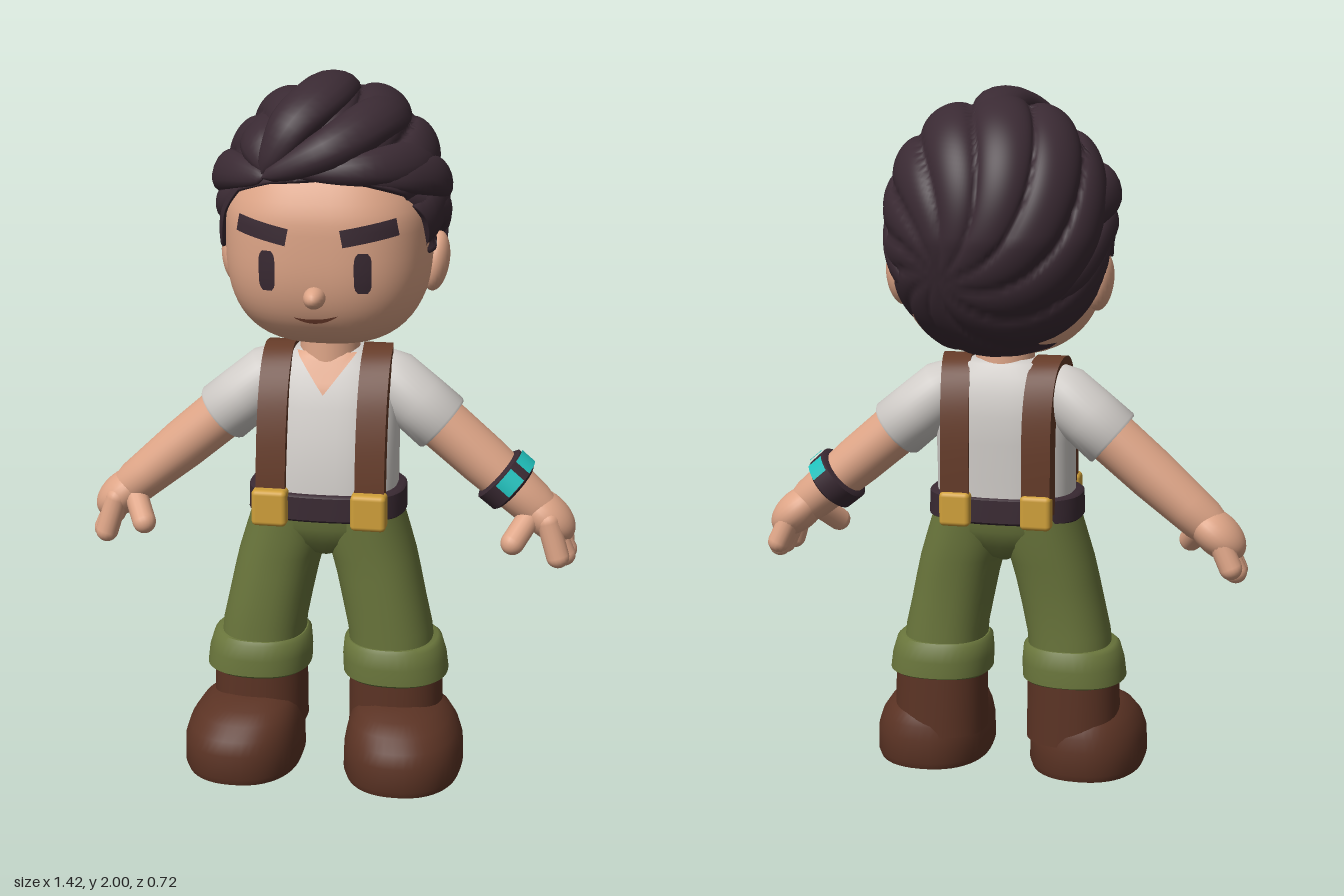
import * as THREE from 'three';
import { toCreasedNormals } from 'three/addons/utils/BufferGeometryUtils.js';
import { RoundedBoxGeometry } from 'three/addons/geometries/RoundedBoxGeometry.js';

const V = (x, y, z) => new THREE.Vector3(x, y, z);
const spow = (v, e) => Math.sign(v) * Math.abs(v) ** e;

function material(name, color) {
  const m = new THREE.MeshStandardMaterial({ color });
  m.name = name;
  return m;
}

// Linear interpolation in rows sorted by their first number
function lookup(rows, k) {
  let i = 0;
  while (i < rows.length - 2 && k > rows[i + 1][0]) i++;
  const a = rows[i], b = rows[i + 1];
  const t = THREE.MathUtils.clamp((k - a[0]) / (b[0] - a[0]), 0, 1);
  return a.map((v, j) => v + (b[j] - v) * t);
}

// Surface closed around u, open along v
function grid(nu, nv, fn) {
  const pos = [], index = [];
  for (let j = 0; j <= nv; j++) for (let i = 0; i < nu; i++) pos.push(...fn(i / nu, j / nv, j));
  for (let j = 0; j < nv; j++) for (let i = 0; i < nu; i++) {
    const a = j * nu + i, b = j * nu + (i + 1) % nu;
    index.push(a, b, b + nu, a, b + nu, a + nu);
  }
  const g = new THREE.BufferGeometry();
  g.setAttribute('position', new THREE.Float32BufferAttribute(pos, 3));
  g.setIndex(index);
  g.computeVertexNormals();
  return g;
}

// Body through rings [y, rx, rz, cz, cx], lowest first, capped at both ends
function loft(rings, n = 2.3, seg = 40, crease = 0.75) {
  const flat = (r) => [r[0], 0.0001, 0.0001, r[3], r[4]];
  const all = [flat(rings[0]), ...rings, flat(rings[rings.length - 1])];
  const g = grid(seg, all.length - 1, (u, v, j) => {
    const [y, rx, rz, cz = 0, cx = 0] = all[j], a = u * Math.PI * 2;
    return [cx + rx * spow(Math.sin(a), 2 / n), y, cz + rz * spow(Math.cos(a), 2 / n)];
  });
  return toCreasedNormals(g, crease);
}

// Depth of the front of a lofted body at x, y
const frontOf = (rings, n) => (x, y) => {
  const [, rx, rz, cz] = lookup(rings, y);
  return cz + rz * Math.max(0, 1 - Math.abs(x / rx) ** n) ** (1 / n);
};

// Lay a flat geometry on a front surface
function drape(geo, depth, lift = 0.007) {
  const p = geo.attributes.position;
  for (let i = 0; i < p.count; i++) p.setZ(i, depth(p.getX(i), p.getY(i)) + lift);
  geo.computeVertexNormals();
  return geo;
}

// Hair surface radius around its centre, with swept grooves
const hairCentre = V(0, 1.6, -0.03);
const pole = V(-0.35, 0.32, 0.88).normalize();
const poleX = V(0, 1, 0).cross(pole).normalize(), poleY = pole.clone().cross(poleX);
function hairRadius(d) {
  const b = d.y > 0 ? 0.362 : 0.36, c = d.z > 0 ? 0.322 : 0.325 + 0.05 * Math.min(0, d.y), n = 2.2;
  const r = (Math.abs(d.x / 0.31) ** n + Math.abs(d.y / b) ** n + Math.abs(d.z / c) ** n) ** (-1 / n);
  const t = Math.acos(THREE.MathUtils.clamp(d.dot(pole), -1, 1));
  const k = (Math.atan2(d.dot(poleX), d.dot(poleY)) + 0.7 * t) / (Math.PI * 2) * 11 + 22;
  const f = k - Math.floor(k), depth = Math.sin(t) * (1 + 0.7 * Math.min(0, d.y));
  return r * (0.98 + depth * (0.11 * Math.sqrt(4 * f * (1 - f)) - 0.035));
}
// Azimuth from the front and elevation of the hair edge, in degrees
const hairline = [[0, 25], [25, 22], [45, 16], [56, 4], [64, -14], [71, -13], [78, -4], [97, -3],
  [101, -24], [105, -46], [114, -61], [145, -69], [180, -72]];
function hairCap() {
  return grid(240, 60, (u, v, j) => {
    const a = u * Math.PI * 2, deg = u > 0.5 ? 360 - u * 360 : u * 360;
    const low = lookup(hairline, deg)[1];
    const e = THREE.MathUtils.degToRad(low + (90 - low) * Math.max(0, j - 1) / 59);
    const d = V(Math.sin(a) * Math.cos(e), Math.sin(e), Math.cos(a) * Math.cos(e));
    const p = d.clone().multiplyScalar(hairRadius(d) * (j ? 1 : 0.75)).add(hairCentre);
    return [p.x, p.y, p.z];
  });
}
// Tapered lock of hair, w wide and t thick
function lock(points, w, t) {
  const curve = new THREE.CatmullRomCurve3(points.map((p) => V(...p)));
  return grid(16, 26, (u, v) => {
    const p = curve.getPoint(v), out = p.clone().sub(hairCentre).normalize();
    const side = curve.getTangent(v).cross(out).normalize();
    const a = u * Math.PI * 2, k = Math.sqrt(Math.max(0, Math.sin(Math.PI * v)));
    p.addScaledVector(side, Math.sin(a) * w * k).addScaledVector(out, Math.cos(a) * t * k);
    return [p.x, p.y, p.z];
  });
}

export function createModel() {
  const model = new THREE.Group();
  model.name = 'character';
  const skin = material('skin', 0xdea587), dark = material('dark hair', 0x3a2a33);
  const shirt = material('shirt cloth', 0xd0ccc8), leather = material('strap leather', 0x653b28);
  const boot = material('boot leather', 0x5b3324), lip = material('lip', 0x7a4432);
  const cloth = material('trouser cloth', 0x6a763c), gold = material('gold metal', 0xd0a03a);
  const teal = material('teal glass', 0x20c2be);
  const add = (name, geo, mat, parent = model) => {
    const m = new THREE.Mesh(geo, mat);
    m.name = name;
    parent.add(m);
    return m;
  };
  const capsule = (name, a, b, r, mat) => {
    const m = add(name, new THREE.CapsuleGeometry(r, a.distanceTo(b), 8, 16), mat);
    m.position.copy(a).add(b).multiplyScalar(0.5);
    m.quaternion.setFromUnitVectors(V(0, 1, 0), b.clone().sub(a).normalize());
  };

  // Head
  const headRings = [], square = 2.75;
  for (let i = 0; i <= 36; i++) {
    const k = spow(Math.sin((i / 36 - 0.5) * Math.PI), 0.9);
    const s = (1 - Math.abs(k) ** square) ** (1 / square) * (1 - 0.25 * Math.max(0, k - 0.25));
    headRings.push([1.56 + 0.307 * k, 0.286 * s + 0.0001, 0.28 * s + 0.0001, 0.02, 0]);
  }
  add('head', loft(headRings, 2.6, 72, 1.2), skin);
  const face = frontOf(headRings, 2.6);
  add('nose', new THREE.SphereGeometry(1, 20, 14).scale(0.03, 0.03, 0.05).translate(0, 1.428, 0.292), skin);
  add('neck', new THREE.CylinderGeometry(0.082, 0.088, 0.18, 32).translate(0, 1.23, 0.04), skin);
  const smile = new THREE.PlaneGeometry(0.12, 0.012, 14, 2);
  const sp = smile.attributes.position;
  for (let i = 0; i < sp.count; i++) {
    const x = sp.getX(i) / 0.06;
    sp.setY(i, 1.357 + sp.getY(i) * (1.1 - x * x) + 0.014 * x * x + 0.004 * x);
  }
  add('mouth', drape(smile, face), lip);

  // Hair
  add('hair', hairCap(), dark);
  const locks = [
    [[[-0.15, 1.75, 0.25], [-0.08, 1.87, 0.22], [-0.01, 1.94, 0.1], [0.0, 1.94, -0.08], [0, 1.85, -0.26]], 0.08, 0.052],
    [[[-0.15, 1.74, 0.26], [0.03, 1.82, 0.25], [0.14, 1.88, 0.11], [0.15, 1.87, -0.08], [0.1, 1.78, -0.28]], 0.07, 0.052],
    [[[-0.08, 1.76, 0.265], [0.13, 1.77, 0.235], [0.24, 1.77, 0.1], [0.24, 1.75, -0.1], [0.15, 1.64, -0.29]], 0.06, 0.04],
    [[[-0.12, 1.75, 0.25], [-0.17, 1.82, 0.17], [-0.17, 1.85, 0.02], [-0.13, 1.84, -0.15], [-0.05, 1.7, -0.32]], 0.07, 0.04],
  ];
  for (const s of [-1, 1]) locks.push(
    [[[s * 0.14, 1.74, 0.255], [s * 0.24, 1.74, 0.155], [s * 0.295, 1.72, 0.03], [s * 0.265, 1.66, -0.15], [s * 0.12, 1.5, -0.29]], 0.06, 0.035],
    [[[s * 0.22, 1.69, 0.19], [s * 0.285, 1.64, 0.08], [s * 0.3, 1.62, -0.04], [s * 0.25, 1.5, -0.18], [s * 0.1, 1.36, -0.22]], 0.05, 0.03]);
  for (const [points, w, t] of locks) add('hairLock', lock(points, w, t), dark);

  // Shirt and neckline
  const torso = [[0.8, 0.2, 0.15, 0.065, 0], [0.9, 0.2, 0.148, 0.062, 0], [1.0, 0.2, 0.14, 0.05, 0],
    [1.08, 0.2, 0.13, 0.04, 0], [1.14, 0.195, 0.115, 0.035, 0], [1.19, 0.17, 0.095, 0.03, 0],
    [1.225, 0.12, 0.077, 0.03, 0], [1.235, 0.09, 0.06, 0.03, 0]];
  add('shirt', loft(torso, 2.6, 48, 1), shirt);
  const vee = new THREE.PlaneGeometry(0.17, 0.11, 12, 10).translate(0, 1.175, 0);
  const vp = vee.attributes.position;
  for (let i = 0; i < vp.count; i++) vp.setX(i, vp.getX(i) * (vp.getY(i) - 1.12) / 0.11);
  add('neckline', drape(vee, frontOf(torso, 2.6), 0.009), skin);

  // Belt and hips
  add('belt', loft([[0.765, 0.218, 0.152, 0.068], [0.772, 0.226, 0.16, 0.068], [0.838, 0.224, 0.16, 0.068],
    [0.845, 0.216, 0.152, 0.068]], 2.6, 48), dark);
  add('hips', loft([[0.635, 0.015, 0.05, 0.07], [0.65, 0.05, 0.085, 0.07], [0.69, 0.17, 0.122, 0.07],
    [0.74, 0.214, 0.146, 0.068], [0.79, 0.21, 0.15, 0.068]], 2.5, 48, 1.2), cloth);

  // Suspender side profile as z, y
  const outer = new THREE.SplineCurve([[0.224, 0.8], [0.22, 0.9], [0.203, 1.02], [0.168, 1.13], [0.11, 1.212],
    [0.035, 1.243], [-0.04, 1.215], [-0.085, 1.13], [-0.102, 1.0], [-0.1, 0.8]].map((p) => new THREE.Vector2(...p)));
  const rim = outer.getPoints(40);
  const inner = rim.map((p, i) => {
    const t = outer.getTangent(i / 40);
    return new THREE.Vector2(p.x - t.y * 0.045, p.y + t.x * 0.045);
  });
  const strapShape = new THREE.Shape([...rim, ...inner.reverse()]);

  for (const s of [-1, 1]) {
    // Face sides
    const eye = new THREE.PlaneGeometry(0.046, 0.11, 6, 12);
    const ep = eye.attributes.position;
    for (let i = 0; i < ep.count; i++) ep.setX(i, ep.getX(i) * (1 - 0.45 * Math.abs(ep.getY(i) / 0.055) ** 6));
    add('eye', drape(eye.translate(s * 0.13, 1.497, 0), face), dark);
    const brow = new THREE.PlaneGeometry(0.146, 0.047, 14, 4).rotateZ(s * 0.19).translate(s * 0.145, 1.605, 0);
    add('eyebrow', drape(brow, face, 0.009), dark);
    const ear = add('ear', new THREE.SphereGeometry(1, 24, 16), skin);
    ear.scale.set(0.038, 0.085, 0.058);
    ear.position.set(s * 0.287, 1.47, -0.04);
    ear.rotation.set(-0.15, 0, -s * 0.12);

    // Suspender, closer to the middle at the back
    const strap = new THREE.ExtrudeGeometry(strapShape, { depth: 0.083, bevelEnabled: false });
    strap.translate(0, 0, -0.0415).rotateY(-Math.PI / 2);
    const tp = strap.attributes.position;
    for (let i = 0; i < tp.count; i++) {
      const back = THREE.MathUtils.clamp((0.05 - tp.getZ(i)) / 0.15, 0, 1);
      tp.setX(i, tp.getX(i) + s * (0.14 - 0.022 * back));
    }
    add('suspender', toCreasedNormals(strap, 0.6), leather);
    add('frontBuckle', new RoundedBoxGeometry(0.1, 0.105, 0.06, 3, 0.014).translate(s * 0.14, 0.808, 0.224), gold);
    add('backBuckle', new RoundedBoxGeometry(0.09, 0.1, 0.05, 3, 0.014).translate(s * 0.118, 0.81, -0.088), gold);

    // Leg, cuff and boot
    add('trouserLeg', loft([[0.33, 0.122, 0.128, 0.08, s * 0.192], [0.42, 0.121, 0.128, 0.08, s * 0.184],
      [0.5, 0.12, 0.13, 0.08, s * 0.167], [0.58, 0.12, 0.133, 0.076, s * 0.15],
      [0.64, 0.121, 0.137, 0.073, s * 0.135], [0.7, 0.122, 0.142, 0.07, s * 0.116],
      [0.79, 0.11, 0.147, 0.068, s * 0.1]], 2.3, 40, 1), cloth);
    add('trouserCuff', loft([[0.275, 0.14, 0.138, 0.08, s * 0.2], [0.283, 0.152, 0.148, 0.08, s * 0.202],
      [0.33, 0.15, 0.148, 0.08, s * 0.198], [0.376, 0.141, 0.143, 0.08, s * 0.193],
      [0.386, 0.13, 0.134, 0.08, s * 0.192]], 2.3), cloth);
    add('bootShaft', loft([[0.1, 0.138, 0.135, 0.068, s * 0.202], [0.3, 0.134, 0.132, 0.068, s * 0.2]]), boot);
    add('bootFoot', loft([[0, 0.165, 0.212, 0.143, s * 0.235], [0.02, 0.172, 0.22, 0.143, s * 0.235],
      [0.09, 0.17, 0.219, 0.143, s * 0.235], [0.13, 0.16, 0.209, 0.14, s * 0.232],
      [0.165, 0.143, 0.187, 0.13, s * 0.225], [0.19, 0.118, 0.154, 0.118, s * 0.217],
      [0.207, 0.08, 0.105, 0.11, s * 0.21], [0.212, 0.04, 0.05, 0.11, s * 0.21]], 2.3, 48, 0.9), boot);

    // Arm, built hanging down and swung outward
    const arm = new THREE.Group();
    arm.name = 'arm';
    arm.position.set(s * 0.17, 1.14, 0.017);
    arm.rotation.z = s * 0.863;
    model.add(arm);
    add('sleeve', loft([[-0.195, 0.076, 0.078], [-0.197, 0.088, 0.09], [-0.19, 0.092, 0.094], [-0.1, 0.09, 0.096],
      [0, 0.087, 0.092], [0.05, 0.065, 0.07], [0.075, 0.03, 0.035]], 2, 36, 1), shirt, arm);
    add('forearm', loft([[-0.58, 0.055, 0.06], [-0.54, 0.064, 0.072], [-0.48, 0.067, 0.077], [-0.35, 0.074, 0.081],
      [-0.15, 0.077, 0.082]], 2, 36, 1), skin, arm);
    const palm = add('palm', new THREE.SphereGeometry(1, 28, 20), skin, arm);
    palm.scale.set(0.06, 0.096, 0.084);
    palm.position.set(0, -0.595, -0.006);
    for (let i = 0; i < 4; i++) {
      const z = -0.05 + i * 0.04, tip = [[0.668, 0.668], [0.678, 0.648], [0.676, 0.646], [0.66, 0.652]][i];
      capsule('finger', V(s * 0.63, 0.75, z * 0.85 + 0.008), V(s * tip[0], tip[1], z + 0.006), 0.033, skin);
    }
    capsule('thumb', V(s * 0.58, 0.765, 0.045), V(s * 0.534, 0.702, 0.122), 0.034, skin);

    // Bracelet on the left wrist: a band with curved panels
    if (s > 0) {
      add('braceletBand', loft([[-0.475, 0.074, 0.082], [-0.468, 0.086, 0.093], [-0.412, 0.088, 0.095],
        [-0.405, 0.076, 0.084]], 2, 36), dark, arm);
      for (const [middle, span] of [[0.3, 0.7], [1.37, 0.85], [2.42, 0.62]]) {
        const panel = new THREE.CylinderGeometry(0.093, 0.093, 0.05, 10, 1, true, middle - span / 2, span);
        add('braceletPanel', panel.scale(1, 1, 1.07).translate(0, -0.44, 0), teal, arm);
      }
    }
  }
  return model;
}
